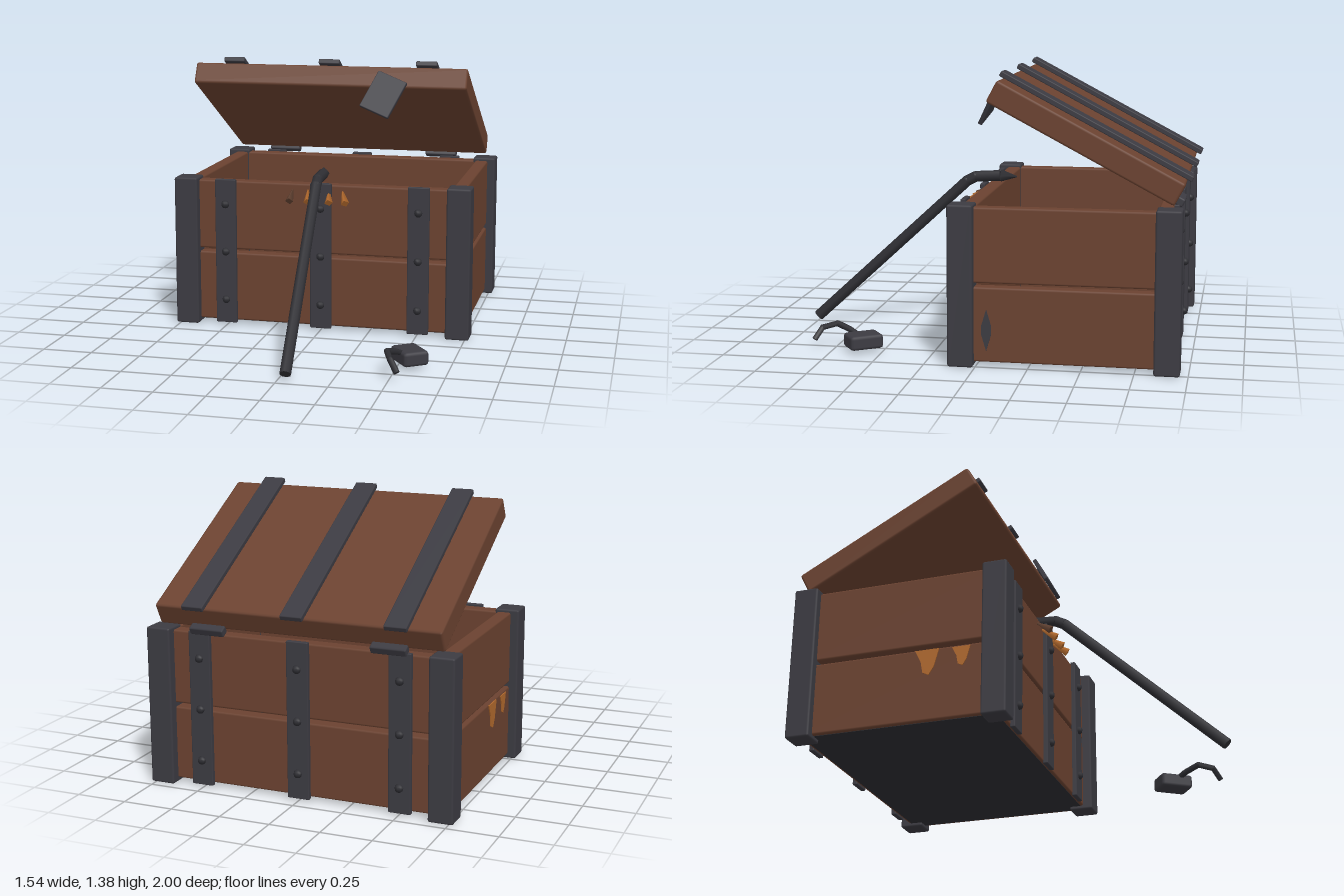
import * as THREE from 'three';
import { RoundedBoxGeometry } from 'three/addons/geometries/RoundedBoxGeometry.js';

const mat = (name, color, side = THREE.FrontSide) => {
  const m = new THREE.MeshStandardMaterial({ color, side });
  m.name = name;
  return m;
};

export function createModel() {
  const wood = mat('wood', 0x6b4230);
  const iron = mat('iron', 0x3c3b42);
  const darkIron = mat('darkIron', 0x2e2e33);
  const splinterWood = mat('splinterWood', 0xb0682c, THREE.DoubleSide);
  const oldSplinter = mat('oldSplinter', 0x5f4030);

  const root = new THREE.Group();
  root.name = 'brokenChest';

  const add = (parent, name, geo, material, x = 0, y = 0, z = 0) => {
    const m = new THREE.Mesh(geo, material);
    m.name = name;
    m.position.set(x, y, z);
    parent.add(m);
    return m;
  };
  const block = (w, h, d, r = 0.01) => new RoundedBoxGeometry(w, h, d, 1, r);
  // A straight rod between two points, optionally tapered
  const rod = (parent, name, a, b, r0, r1, material, sides = 8) => {
    const from = new THREE.Vector3(...a), dir = new THREE.Vector3(...b).sub(from);
    const m = add(parent, name, new THREE.CylinderGeometry(r1, r0, dir.length(), sides), material);
    m.position.copy(from).addScaledVector(dir, 0.5);
    m.quaternion.setFromUnitVectors(new THREE.Vector3(0, 1, 0), dir.normalize());
    return m;
  };

  // Chest body
  const body = new THREE.Group();
  body.name = 'chestBody';
  root.add(body);
  const midZ = -0.415;
  add(body, 'floor', new THREE.BoxGeometry(1.42, 0.04, 0.97), darkIron, 0, 0.038, midZ);
  for (const y of [0.2, 0.58]) {
    for (const s of [-1, 1]) {
      add(body, 'longPlank', block(1.42, 0.36, 0.073), wood, 0, y, midZ + s * 0.4635);
      add(body, 'sidePlank', block(0.07, 0.36, 0.93), wood, s * 0.695, y, midZ);
    }
  }
  for (const sx of [-1, 1]) {
    for (const sz of [-1, 1]) {
      add(body, 'cornerPost', block(0.122, 0.775, 0.122), iron, sx * 0.711, 0.3875, midZ + sz * 0.486);
    }
  }

  // Riveted straps on the front and back
  const strapX = [-0.505, 0, 0.505];
  for (const s of [-1, 1]) {
    for (const x of strapX) {
      add(body, 'strap', block(0.11, 0.76, 0.026, 0.005), iron, x, 0.39, midZ + s * 0.509);
      for (const y of [0.135, 0.39, 0.64]) {
        add(body, 'rivet', new THREE.SphereGeometry(0.021, 8, 6), darkIron, x, y, midZ + s * 0.523);
      }
    }
  }

  // Hinges behind the lid
  for (const s of [-1, 1]) {
    const hinge = add(body, 'hinge', block(0.175, 0.04, 0.045, 0.008), iron, s * 0.455, 0.783, -0.935);
    hinge.rotation.x = -0.49;
  }

  // Open lid with straps and a twisted hasp plate
  const lid = new THREE.Group();
  lid.name = 'lid';
  lid.position.set(0, 1.07, -0.508);
  lid.rotation.x = -0.487;
  root.add(lid);
  add(lid, 'lidPanel', block(1.43, 0.115, 0.99, 0.012), wood);
  for (const x of strapX) {
    add(lid, 'lidStrap', block(0.11, 0.026, 1.03, 0.005), iron, x, 0.07, 0);
  }
  const hasp = add(lid, 'haspPlate', block(0.165, 0.21, 0.022, 0.005), iron, 0.3, -0.105, 0.514);
  hasp.rotation.z = -0.4;

  // Pry bar leaning on the front edge
  const bar = new THREE.Group();
  bar.name = 'pryBar';
  root.add(bar);
  const barPath = [[0.045, 0.04, 0.98], [-0.003, 0.775, 0.185], [-0.005, 0.798, 0.14], [-0.005, 0.806, 0.012]];
  for (let i = 0; i < 3; i++) {
    rod(bar, 'barSegment', barPath[i], barPath[i + 1], 0.028, 0.028, darkIron);
    if (i) add(bar, 'barBend', new THREE.SphereGeometry(0.028, 8, 6), darkIron, ...barPath[i]);
  }
  rod(bar, 'barTip', [-0.005, 0.806, 0.008], [-0.005, 0.802, -0.075], 0.032, 0.003, darkIron, 4);

  // Broken padlock on the ground
  const lock = new THREE.Group();
  lock.name = 'padlock';
  root.add(lock);
  add(lock, 'lockBody', block(0.13, 0.07, 0.168, 0.016), iron, 0.555, 0.053, 0.597).rotation.y = 0.61;
  const shackle = [[0.53, 0.07, 0.63], [0.505, 0.09, 0.675], [0.475, 0.112, 0.75], [0.503, 0.095, 0.82], [0.54, 0.042, 0.85]];
  for (let i = 0; i < 4; i++) {
    rod(lock, 'shackle', shackle[i], shackle[i + 1], 0.015, 0.015, darkIron, 6);
    if (i) add(lock, 'shackleBend', new THREE.SphereGeometry(0.015, 6, 5), darkIron, ...shackle[i]);
  }

  // Splinters fanning out of the front plank
  for (const [x, lean] of [[-0.15, 0], [-0.07, 0.015], [0.04, 0.015], [0.11, 0.03]]) {
    rod(root, 'splinter', [x + lean, 0.682, 0.158], [x, 0.73, 0.082], 0.021, 0.004,
      x < -0.1 ? oldSplinter : splinterWood, 4);
  }

  // Thin marks on the side planks: torn wood on one side, a gouge on the other
  const mark = (name, points, material, x, y, z) => {
    const shape = new THREE.Shape(points.map(p => new THREE.Vector2(...p)));
    const geo = new THREE.ExtrudeGeometry(shape, { depth: 0.006, bevelEnabled: false });
    add(root, name, geo, material, x, y, z).rotation.y = Math.sign(x) * Math.PI / 2;
  };
  const tear = [[-0.06, 0.06], [0.06, 0.06], [0.035, -0.03], [0.01, -0.07], [-0.02, -0.055], [-0.03, 0]];
  mark('tornWood', tear, splinterWood, -0.729, 0.315, -0.27);
  mark('tornWood', tear.map(p => p.map(v => v * 0.75)), splinterWood, -0.729, 0.325, -0.1);
  mark('gouge', [[0, 0.1], [-0.024, 0.02], [-0.024, -0.02], [0, -0.1], [0.024, -0.02], [0.024, 0.02]], iron, 0.729, 0.175, -0.05);

  return root;
}
